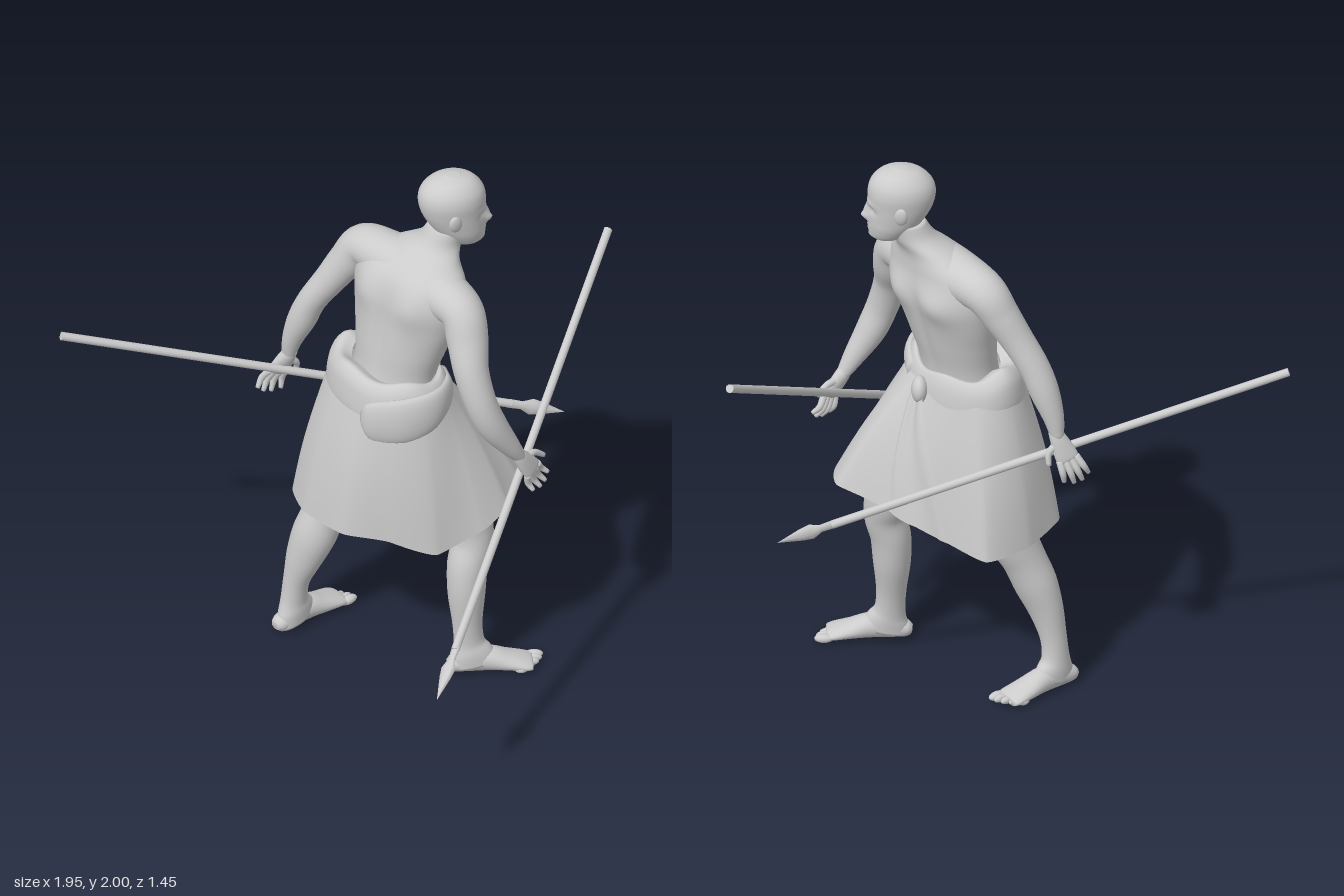
import * as THREE from 'three';

const V = (x, y, z) => new THREE.Vector3(x, y, z);
const grey = new THREE.MeshStandardMaterial({ color: 0xcccccc });
const cloth = new THREE.MeshStandardMaterial({ color: 0xcccccc, side: THREE.DoubleSide });
const FACING = V(0.77, 0, -0.64).normalize(); // chest direction
const LEFT = V(0, 1, 0).cross(FACING);
const UP = V(0, 1, 0);
const bump = (d, s) => Math.exp(-((d / s) ** 2));

// Skins a list of rings (arrays of points); closed rings may be capped
function skin(rings, { wrap = true, caps = true } = {}) {
  const n = rings[0].length, pts = rings.flat(), index = [];
  const last = wrap ? n : n - 1;
  for (let j = 0; j < rings.length - 1; j++)
    for (let i = 0; i < last; i++) {
      const k = (i + 1) % n, a = j * n + i, b = j * n + k;
      index.push(a, b, a + n, b, b + n, a + n);
    }
  if (caps) [0, rings.length - 1].forEach((j) => {
    const c = V(0, 0, 0);
    rings[j].forEach((p) => c.addScaledVector(p, 1 / n));
    const m = pts.push(c) - 1;
    for (let i = 0; i < n; i++) {
      const a = j * n + i, b = j * n + (i + 1) % n;
      j ? index.push(a, b, m) : index.push(b, a, m);
    }
  });
  const g = new THREE.BufferGeometry().setFromPoints(pts);
  g.setIndex(index);
  g.computeVertexNormals();
  return g;
}

// Smooth elliptical sweep; rows are [x, y, z, radius along ref, radius across]
function sweep(rows, ref, { seg = 20, per = 5, axis, sculpt, caps = true } = {}) {
  const path = new THREE.CatmullRomCurve3(rows.map((r) => V(r[0], r[1], r[2])), false, 'catmullrom');
  const radii = new THREE.CatmullRomCurve3(rows.map((r) => V(r[3], r[4], 0)), false, 'catmullrom');
  const count = (rows.length - 1) * per, rings = [];
  for (let j = 0; j <= count; j++) {
    const t = j / count, c = path.getPoint(t), r = radii.getPoint(t);
    const T = axis || path.getTangent(t);
    const U = ref.clone().addScaledVector(T, -ref.dot(T)).normalize();
    const W = T.clone().cross(U), ring = [];
    for (let i = 0; i < seg; i++) {
      const a = (i / seg) * Math.PI * 2;
      const p = c.clone().addScaledVector(U, Math.cos(a) * r.x).addScaledVector(W, Math.sin(a) * r.y);
      if (sculpt) sculpt(p, a, c);
      ring.push(p);
    }
    rings.push(ring);
  }
  return skin(rings, { caps });
}

function add(parent, name, geometry, material = grey) {
  const m = new THREE.Mesh(geometry, material);
  m.name = name;
  parent.add(m);
  return m;
}

function ball(parent, name, p, s) {
  const m = add(parent, name, new THREE.SphereGeometry(1, 20, 14));
  m.position.set(...p);
  m.scale.set(...s);
  return m;
}

// Palm, four loosely curled fingers and a thumb at the +side end
function hand(parent, name, wrist, knuckles, tips, side) {
  const g = new THREE.Group();
  g.name = name;
  parent.add(g);
  side.normalize();
  const mid = wrist.clone().lerp(knuckles, 0.5);
  const along = knuckles.clone().sub(wrist).normalize();
  const row = (p, a, b) => [p.x, p.y, p.z, a, b];
  add(g, 'palm', sweep([row(wrist.clone().addScaledVector(along, -0.03), 0.022, 0.022), row(wrist, 0.029, 0.025),
    row(mid, 0.037, 0.022), row(knuckles, 0.04, 0.016),
    row(knuckles.clone().addScaledVector(along, 0.01), 0.028, 0.009)], side));
  const curl = side.clone().cross(along).multiplyScalar(0.012);
  for (let i = -1.5; i <= 1.5; i++) {
    const a = knuckles.clone().addScaledVector(side, i * 0.02);
    const b = tips.clone().addScaledVector(side, i * 0.03).addScaledVector(along, -0.008 * i * i);
    const m = a.clone().lerp(b, 0.55).add(curl);
    add(g, 'finger', sweep([row(a, 0.013, 0.013), row(m, 0.012, 0.012), row(b, 0.008, 0.008)], side, { seg: 10 }));
  }
  const t = [wrist.clone().lerp(knuckles, 0.3).addScaledVector(side, 0.02), mid.clone().addScaledVector(side, 0.052),
    knuckles.clone().addScaledVector(side, 0.07)];
  add(g, 'thumb', sweep(t.map((p, i) => row(p, 0.015 - i * 0.003, 0.015 - i * 0.003)), along, { seg: 10 }));
}

// Foot pointing along local +x from the heel; inner is the z sign of the big toe
function foot(parent, name, x, z, turn, inner) {
  const g = new THREE.Group();
  g.name = name;
  g.position.set(x, 0, z);
  g.rotation.y = turn;
  parent.add(g);
  add(g, 'sole', sweep([[0, 0.03, 0, 0.015, 0.018], [0.02, 0.033, 0, 0.03, 0.032], [0.075, 0.042, 0, 0.041, 0.039],
    [0.14, 0.046, 0, 0.045, 0.044], [0.21, 0.033, 0, 0.032, 0.053], [0.27, 0.022, 0, 0.021, 0.058],
    [0.295, 0.018, 0, 0.014, 0.052]], UP));
  for (let i = 0; i < 5; i++)
    ball(g, 'toe', [0.305 - 0.0032 * i * i, 0.016, inner * (0.042 - i * 0.022)],
      [0.034 - i * 0.003, 0.016 - i * 0.001, i ? 0.012 : 0.018]);
}

// Spear from butt to tip
function spear(parent, name, butt, tip) {
  const g = new THREE.Group(), d = tip.clone().sub(butt), L = d.length();
  g.name = name;
  g.position.copy(butt);
  g.quaternion.setFromUnitVectors(UP, d.normalize());
  parent.add(g);
  const shaft = add(g, 'shaft', new THREE.CylinderGeometry(0.015, 0.015, L - 0.2, 12));
  shaft.position.y = (L - 0.2) / 2;
  const profile = [[0.018, 0], [0.016, 0.05], [0.032, 0.085], [0.026, 0.12], [0, 0.21]];
  const blade = add(g, 'blade', new THREE.LatheGeometry(profile.map((p) => new THREE.Vector2(...p)), 8));
  blade.position.y = L - 0.21;
  blade.scale.z = 0.5;
}

// Skirt surface: s runs round the hem, t from hem to waist
const hem = new THREE.CatmullRomCurve3([[0.59, 0.74, -0.17], [0.59, 0.74, -0.31], [0.42, 0.7, -0.4], [0.24, 0.64, -0.51],
  [0.08, 0.6, -0.59], [-0.08, 0.61, -0.51], [-0.17, 0.63, -0.36], [-0.16, 0.63, -0.22], [-0.03, 0.64, -0.06],
  [0.12, 0.63, 0], [0.28, 0.59, 0.03], [0.44, 0.65, 0], [0.54, 0.71, -0.07]].map((p) => V(...p)), true, 'catmullrom', 0.25);
function skirtPoint(s, t, out = 0) {
  const c = V(0.145, 0, -0.245), h = hem.getPoint(s);
  const d = h.clone().sub(c).setY(0).normalize();
  const r = 1 / Math.hypot(d.dot(FACING) / 0.165, d.dot(LEFT) / 0.235);
  const p = h.lerp(c.addScaledVector(d, r).setY(1.17), t);
  const fold = 0.006 * Math.sin(s * Math.PI * 14) * (1 - t);
  return p.addScaledVector(d, fold + 0.014 * Math.sin(t * Math.PI) + out);
}
const steps = (n, fn) => Array.from({ length: n + 1 }, (_, i) => fn(i / n));

export function createModel() {
  const model = new THREE.Group();
  model.name = 'spearman';

  // Torso and neck, with chest, belly line, shoulder blades and spine
  add(model, 'torso', sweep([[0.15, 0.95, -0.24, 0.13, 0.17], [0.155, 1.1, -0.24, 0.125, 0.175], [0.17, 1.22, -0.25, 0.115, 0.163],
    [0.19, 1.33, -0.255, 0.123, 0.185], [0.21, 1.44, -0.26, 0.13, 0.215], [0.225, 1.54, -0.26, 0.13, 0.235],
    [0.24, 1.62, -0.26, 0.115, 0.215], [0.275, 1.68, -0.262, 0.09, 0.14], [0.322, 1.73, -0.265, 0.073, 0.084],
    [0.355, 1.79, -0.265, 0.066, 0.07]], FACING, { seg: 64, per: 7, axis: UP, sculpt: (p, a, c) => {
    const side = p.clone().sub(c).dot(LEFT), w = Math.abs(side), front = Math.cos(a);
    const push = front > 0
      ? 0.024 * bump(w - 0.1, 0.075) * bump(p.y - 1.51, 0.06) - 0.009 * bump(side, 0.02) * bump(p.y - 1.4, 0.16)
      : 0.014 * bump(side, 0.022) * bump(p.y - 1.4, 0.18) - 0.016 * bump(w - 0.11, 0.06) * bump(p.y - 1.54, 0.08);
    p.addScaledVector(FACING, push * Math.min(1, Math.abs(front) * 2));
  } }));

  // Head with sculpted face
  const hz = -0.265;
  add(model, 'head', sweep([[0.42, 1.715, hz, 0.03, 0.026], [0.412, 1.732, hz, 0.062, 0.05], [0.397, 1.77, hz, 0.084, 0.071],
    [0.382, 1.81, hz, 0.1, 0.082], [0.37, 1.86, hz, 0.113, 0.091], [0.367, 1.91, hz, 0.118, 0.096],
    [0.368, 1.95, hz, 0.106, 0.087], [0.37, 1.983, hz, 0.072, 0.06], [0.37, 1.999, hz, 0.022, 0.019]], V(1, 0, 0),
  { seg: 96, per: 9, axis: UP, sculpt: (p, a) => {
    if (Math.cos(a) <= 0) return;
    const z = p.z - hz, w = Math.abs(z), y = p.y;
    p.x += 0.024 * bump(z, 0.017) * bump(y - 1.807, 0.017) + 0.014 * bump(z, 0.013) * bump(y - 1.836, 0.022)
      + 0.006 * bump(w - 0.03, 0.024) * bump(y - 1.868, 0.013) - 0.009 * bump(w - 0.034, 0.019) * bump(y - 1.843, 0.014)
      + 0.007 * bump(z, 0.025) * bump(y - 1.766, 0.013) - 0.006 * bump(z, 0.025) * bump(y - 1.766, 0.004)
      + 0.006 * bump(z, 0.025) * bump(y - 1.735, 0.014);
  } }));
  for (const s of [-1, 1]) {
    ball(model, 'eye', [0.456, 1.844, hz + s * 0.033], [0.01, 0.007, 0.014]);
    ball(model, 'ear', [0.37, 1.85, hz + s * 0.092], [0.024, 0.036, 0.013]).rotation.set(s * 0.15, s * 0.35, 0.15);
  }

  // Both arms in one sweep, from left wrist across the shoulders to right wrist
  add(model, 'armsAndShoulders', sweep([[-0.17, 1.07, -0.54, 0.022, 0.024], [-0.155, 1.15, -0.53, 0.038, 0.037],
    [-0.125, 1.24, -0.515, 0.052, 0.05], [-0.09, 1.33, -0.5, 0.055, 0.05], [-0.03, 1.43, -0.478, 0.058, 0.056],
    [0.028, 1.52, -0.462, 0.067, 0.066], [0.08, 1.592, -0.44, 0.078, 0.075], [0.148, 1.605, -0.365, 0.09, 0.085],
    [0.24, 1.595, -0.255, 0.1, 0.1], [0.328, 1.578, -0.138, 0.09, 0.085], [0.38, 1.553, -0.062, 0.078, 0.074],
    [0.393, 1.47, -0.02, 0.073, 0.073], [0.4, 1.37, 0.03, 0.062, 0.062], [0.43, 1.25, 0.06, 0.056, 0.057],
    [0.47, 1.15, 0.06, 0.053, 0.054], [0.53, 1.05, 0.045, 0.037, 0.038], [0.57, 0.985, 0.03, 0.022, 0.024]],
  FACING, { seg: 32, per: 6 }));
  hand(model, 'rightHand', V(0.57, 0.985, 0.03), V(0.615, 0.915, 0.012), V(0.655, 0.837, -0.005), V(0.6, 0.3, -0.65));
  hand(model, 'leftHand', V(-0.17, 1.07, -0.54), V(-0.205, 0.995, -0.555), V(-0.242, 0.905, -0.56), V(0.9, -0.25, -0.25));

  // Legs and feet
  add(model, 'rightLeg', sweep([[0.24, 1.02, -0.15, 0.11, 0.1], [0.31, 0.85, -0.15, 0.1, 0.095], [0.385, 0.7, -0.15, 0.09, 0.086],
    [0.415, 0.6, -0.15, 0.08, 0.082], [0.425, 0.52, -0.135, 0.073, 0.073], [0.405, 0.43, -0.12, 0.071, 0.079],
    [0.4, 0.32, -0.11, 0.066, 0.074], [0.402, 0.2, -0.1, 0.053, 0.053], [0.407, 0.12, -0.095, 0.054, 0.044],
    [0.416, 0.075, -0.09, 0.074, 0.046], [0.425, 0.03, -0.088, 0.094, 0.044]], V(1, 0, 0), { seg: 24 }));
  add(model, 'leftLeg', sweep([[0.08, 1.02, -0.35, 0.11, 0.1], [0.06, 0.85, -0.38, 0.1, 0.095], [0.03, 0.72, -0.4, 0.095, 0.088],
    [-0.01, 0.6, -0.41, 0.09, 0.08], [-0.055, 0.5, -0.405, 0.078, 0.075], [-0.095, 0.4, -0.4, 0.074, 0.08],
    [-0.13, 0.3, -0.405, 0.059, 0.067], [-0.155, 0.2, -0.415, 0.048, 0.047], [-0.163, 0.12, -0.42, 0.052, 0.043],
    [-0.16, 0.075, -0.424, 0.074, 0.045], [-0.153, 0.03, -0.43, 0.092, 0.043]], FACING, { seg: 24 }));
  foot(model, 'rightFoot', 0.33, -0.088, 0, -1);
  foot(model, 'leftFoot', -0.234, -0.375, 0.62, 1);

  // Skirt, belt, side roll and hanging sash
  add(model, 'skirt', skin(steps(16, (t) => steps(129, (i) => skirtPoint(i * 129 / 130, t))), { caps: false }), cloth);
  add(model, 'belt', sweep([[0.145, 1.09, -0.245, 0.17, 0.23], [0.145, 1.11, -0.245, 0.18, 0.245], [0.145, 1.17, -0.245, 0.176, 0.243],
    [0.145, 1.22, -0.245, 0.165, 0.23], [0.15, 1.25, -0.245, 0.142, 0.2], [0.16, 1.23, -0.245, 0.11, 0.165]], FACING,
  { seg: 64, axis: UP, caps: false, sculpt: (p, a) => {
    p.y += 0.01 * Math.sin(a * 5) - 0.035 * Math.max(0, Math.cos(a));
  } }), cloth);
  add(model, 'beltRoll', sweep([[0.04, 1.09, -0.1, 0.04, 0.015], [0.07, 1.1, -0.07, 0.08, 0.022], [0.18, 1.13, -0.028, 0.09, 0.026],
    [0.285, 1.165, -0.045, 0.075, 0.024], [0.335, 1.17, -0.13, 0.055, 0.022], [0.33, 1.165, -0.24, 0.035, 0.02]], UP));
  ball(model, 'sashKnot', skirtPoint(0.15, 0.94, 0.004).toArray(), [0.03, 0.05, 0.045]);
  add(model, 'sash', skin(steps(16, (t) => steps(12, (i) =>
    skirtPoint(0.21 - 0.06 * t + (i - 0.5) * (0.08 - 0.03 * t), 0.02 + 0.95 * t, 0.014 + 0.006 * Math.sin(i * 9)))),
  { wrap: false, caps: false }), cloth);

  // Spears held in each hand
  spear(model, 'leftSpear', V(-0.97, 1.28, -0.455), V(0.8, 0.69, -0.61));
  spear(model, 'rightSpear', V(0.965, 1.38, -0.72), V(0.2, 0.475, 0.72));
  return model;
}
